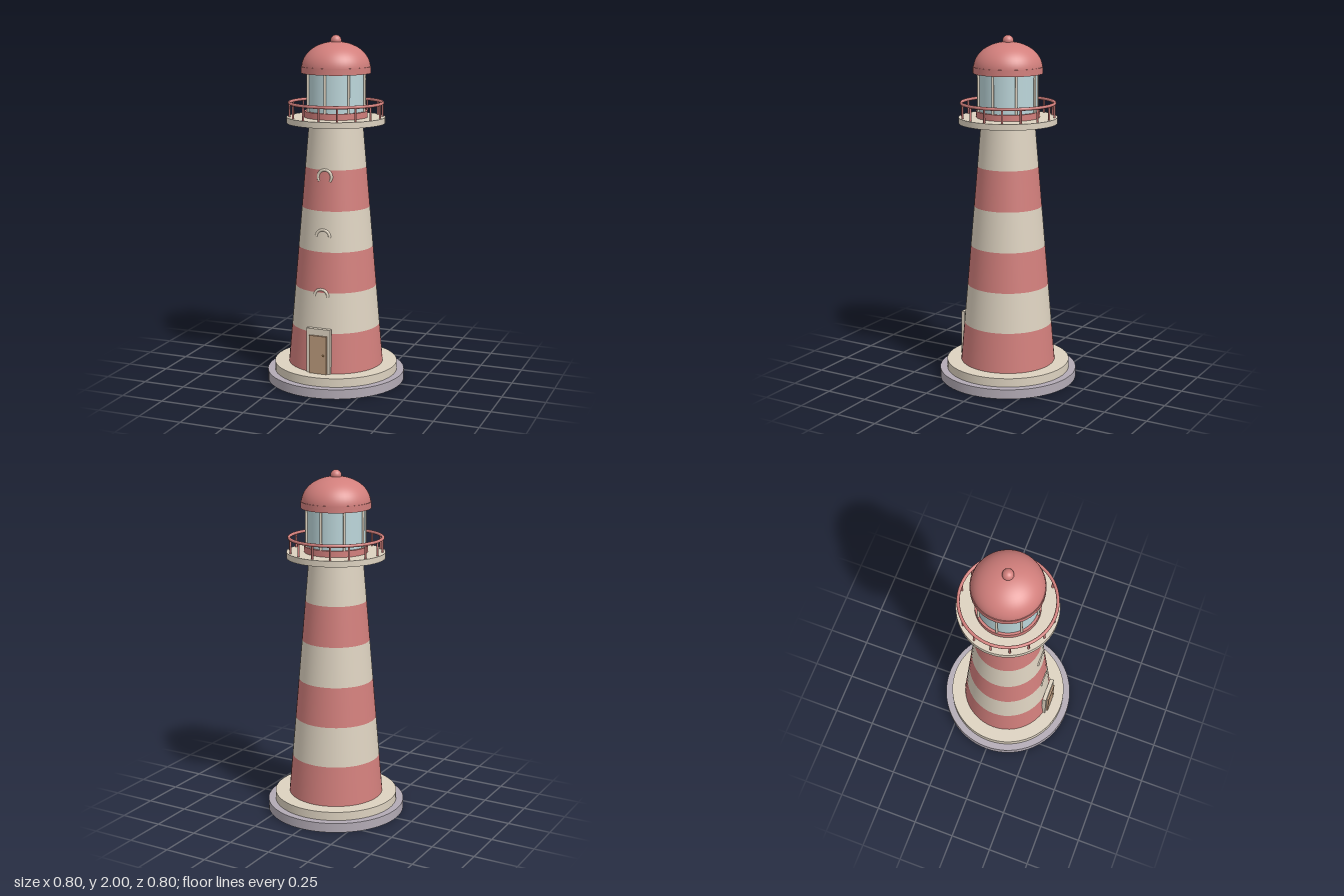
import * as THREE from 'three';

const mat = (color) => new THREE.MeshStandardMaterial({ color });

export function createModel() {
  const root = new THREE.Group();
  const red = mat(0xd27f7c), cream = mat(0xddd2c0), stone = mat(0xb3abb5);
  const glass = mat(0xbcd6da), wood = mat(0xb8977a), brass = mat(0x9a7448);

  const add = (name, geometry, material, x = 0, y = 0, z = 0, parent = root) => {
    const mesh = new THREE.Mesh(geometry, material);
    mesh.name = name;
    mesh.position.set(x, y, z);
    parent.add(mesh);
    return mesh;
  };
  // Round section standing between two heights
  const drum = (name, rTop, rBottom, y0, y1, material, sides = 48) =>
    add(name, new THREE.CylinderGeometry(rTop, rBottom, y1 - y0, sides), material, 0, (y0 + y1) / 2);
  // Ring of upright posts
  const postRing = (name, count, ringR, postR, y0, y1, material) => {
    const group = new THREE.Group();
    group.name = name;
    const geometry = new THREE.CylinderGeometry(postR, postR, y1 - y0, 8);
    for (let i = 0; i < count; i++) {
      const a = (i / count) * Math.PI * 2;
      add('post', geometry, material, Math.sin(a) * ringR, (y0 + y1) / 2, Math.cos(a) * ringR, group);
    }
    root.add(group);
  };

  // Stepped base
  drum('baseLower', 0.4, 0.4, 0, 0.055, stone, 64);
  drum('baseUpper', 0.358, 0.358, 0.055, 0.105, cream, 64);

  // Tapered tower in six alternating bands
  const yBottom = 0.105, yTop = 1.49;
  const wallR = (y) => 0.275 - 0.12 * (y - yBottom) / (yTop - yBottom);
  const step = (yTop - yBottom) / 6;
  for (let i = 0; i < 6; i++) {
    const y = yBottom + i * step;
    drum('towerBand', wallR(y + step), wallR(y), y, y + step, i % 2 ? cream : red);
  }

  // Door with frame and knob
  add('doorFrame', new THREE.BoxGeometry(0.145, 0.26, 0.024), cream, 0, 0.235, 0.266);
  add('door', new THREE.BoxGeometry(0.105, 0.222, 0.014), wood, 0, 0.216, 0.283);
  add('doorKnob', new THREE.SphereGeometry(0.006, 12, 8), brass, 0.034, 0.215, 0.293);

  // Window arches, set into the wall
  [[0.545, Math.PI], [0.883, Math.PI], [1.22, Math.PI * 1.4]].forEach(([y, arc]) => {
    const arch = add('windowArch', new THREE.TorusGeometry(0.04, 0.008, 10, 28, arc), cream, 0, y, wallR(y) - 0.006);
    arch.rotation.z = (Math.PI - arc) / 2;
  });

  // Gallery deck and railing
  drum('galleryDeck', 0.28, 0.28, 1.506, 1.54, cream, 64);
  postRing('railingPosts', 16, 0.263, 0.006, 1.54, 1.62, red);
  const rail = add('handrail', new THREE.TorusGeometry(0.264, 0.009, 10, 64), red, 0, 1.62, 0);
  rail.rotation.x = Math.PI / 2;

  // Lantern room
  drum('lanternSill', 0.18, 0.18, 1.54, 1.575, red);
  drum('lanternGlass', 0.166, 0.166, 1.575, 1.8, glass);
  postRing('lanternMullions', 8, 0.172, 0.007, 1.575, 1.8, cream);

  // Domed roof with ball finial
  drum('roofEave', 0.198, 0.198, 1.788, 1.825, red, 32);
  const dome = add('roofDome',
    new THREE.SphereGeometry(0.194, 48, 16, 0, Math.PI * 2, 0, Math.PI / 2), red, 0, 1.82, 0);
  dome.scale.y = 0.74;
  add('finial', new THREE.SphereGeometry(0.031, 24, 16), red, 0, 1.969, 0);

  return root;
}
